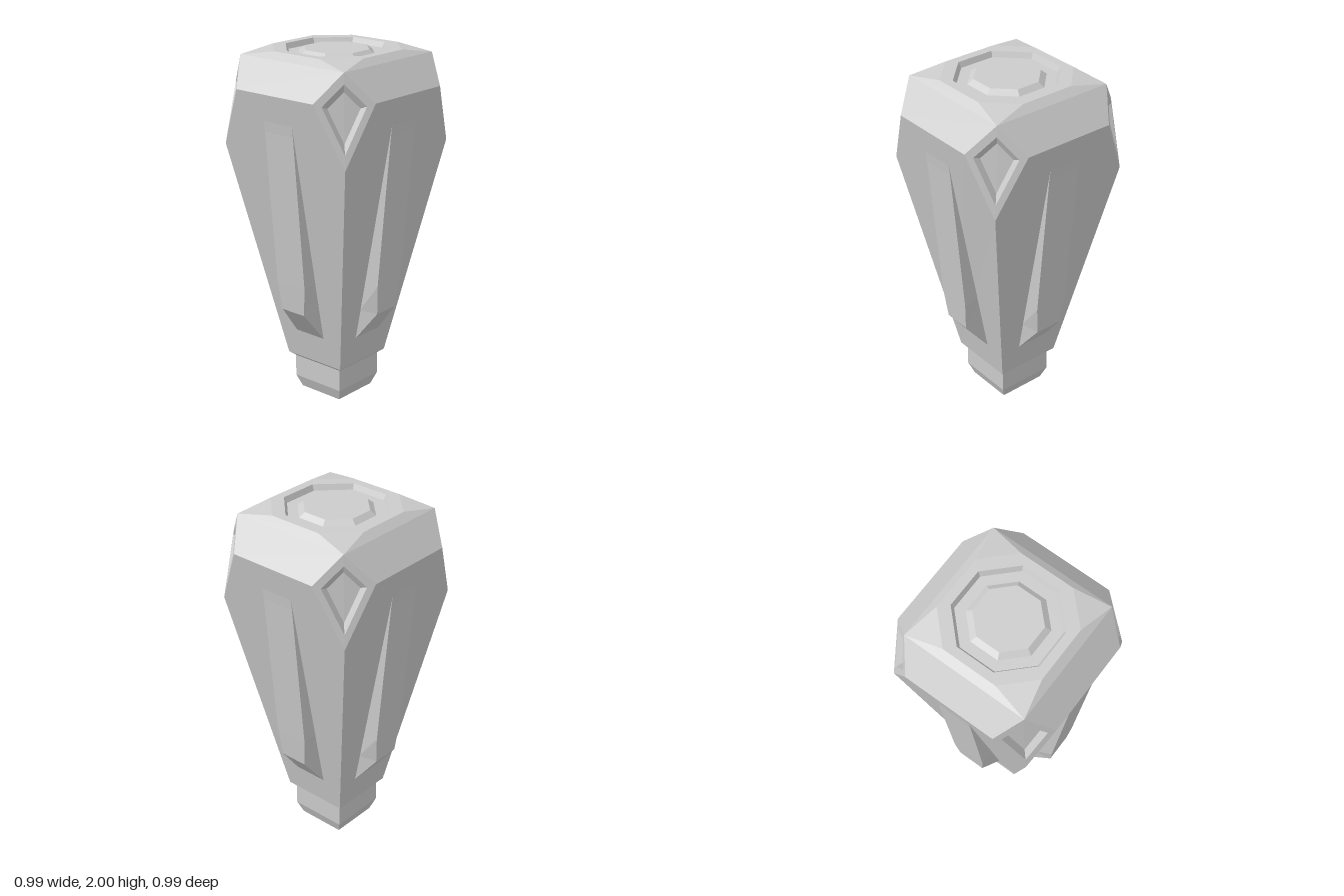
import * as THREE from 'three';

const material = new THREE.MeshStandardMaterial({ color: 0xcccccc, flatShading: true });

// Flat-shaded mesh from convex polygons (corners anticlockwise from outside)
function polyMesh(name, polygons) {
  const pos = [];
  for (const p of polygons)
    for (let i = 1; i < p.length - 1; i++) pos.push(...p[0], ...p[i], ...p[i + 1]);
  const geo = new THREE.BufferGeometry();
  geo.setAttribute('position', new THREE.Float32BufferAttribute(pos, 3));
  geo.computeVertexNormals();
  const mesh = new THREE.Mesh(geo, material);
  mesh.name = name;
  return mesh;
}

// Half width of the tapered body at height y
const bodyHalf = (y) => 0.195 + (y - 0.22) * 0.1887;

// One side of the tapered body with the sloping shoulder above it
function sidePanel() {
  return polyMesh('bodySide', [
    [[-0.195, 0.22, 0.195], [0.195, 0.22, 0.195], [0.43, 1.475, 0.43],
      [0.27, 1.81, 0.495], [-0.27, 1.81, 0.495], [-0.43, 1.475, 0.43]],
    [[-0.27, 1.81, 0.495], [0.27, 1.81, 0.495], [0.365, 1.965, 0.365], [-0.365, 1.965, 0.365]],
    [[-0.365, 1.965, 0.365], [0.365, 1.965, 0.365], [0.16, 2, 0.32], [-0.16, 2, 0.32]],
    [[0.365, 1.965, 0.365], [0.32, 2, 0.16], [0.16, 2, 0.32]],
  ]);
}

// Raised rib: stations of [height, depth, half width]
function rib() {
  const stations = [
    [0.395, bodyHalf(0.395), 0.1], [0.57, 0.365, 0.08], [0.74, 0.382, 0.1],
    [1.6, 0.46, 0.1], [1.66, bodyHalf(1.66) + 0.001, 0.1],
  ];
  const polys = [];
  for (let i = 0; i < stations.length - 1; i++) {
    const [y0, z0, w0] = stations[i], [y1, z1, w1] = stations[i + 1];
    const b0 = bodyHalf(y0) - 0.005, b1 = bodyHalf(y1) - 0.005;
    polys.push(
      [[-w0, y0, z0], [w0, y0, z0], [w1, y1, z1], [-w1, y1, z1]],
      [[w0, y0, z0], [0.1, y0, b0], [0.1, y1, b1], [w1, y1, z1]],
      [[-0.1, y0, b0], [-w0, y0, z0], [-w1, y1, z1], [-0.1, y1, b1]],
    );
  }
  return polyMesh('rib', polys);
}

// Kite-shaped corner facet with a bevelled recess
function cornerFacet() {
  const outer = [[0.365, 1.965, 0.365], [0.27, 1.81, 0.495], [0.43, 1.475, 0.43], [0.495, 1.81, 0.27]]
    .map((p) => new THREE.Vector3(...p));
  const centre = new THREE.Vector3(0.392, 1.76, 0.392);
  const normal = outer[3].clone().sub(outer[1]).cross(outer[0].clone().sub(outer[2])).normalize();
  const inset = (scale, depth) => outer.map((p) =>
    p.clone().lerp(centre, 1 - scale).addScaledVector(normal, -depth));
  const rings = [outer, inset(0.72, 0), inset(0.53, 0.03)].map((r) => r.map((p) => p.toArray()));
  const polys = [rings[2]];
  for (let k = 0; k < 2; k++)
    for (let i = 0; i < 4; i++) {
      const j = (i + 1) % 4;
      polys.push([rings[k][i], rings[k][j], rings[k + 1][j], rings[k + 1][i]]);
    }
  return polyMesh('cornerFacet', polys);
}

// Quarter of the top: octagon rings [apothem, half side, height] forming recess and button
function topQuarter() {
  const rings = [[0.32, 0.16, 2], [0.27, 0.112, 2], [0.255, 0.106, 1.97],
    [0.2, 0.083, 1.97], [0.17, 0.07, 1.995]];
  const polys = [];
  for (let i = 0; i < rings.length - 1; i++) {
    const [s, a, y] = rings[i], [t, b, v] = rings[i + 1];
    polys.push(
      [[-a, y, s], [a, y, s], [b, v, t], [-b, v, t]],
      [[a, y, s], [s, y, a], [t, v, b], [b, v, t]],
    );
  }
  const [s, a, y] = rings[rings.length - 1];
  polys.push([[0, y, 0], [-a, y, s], [a, y, s], [s, y, a]]);
  return polyMesh('topButton', polys);
}

// Side of the square foot: rings [half width, height] ending in a recessed underside
function footSide() {
  const rings = [[0.195, 0.22], [0.167, 0.197], [0.167, 0.07], [0.14, 0],
    [0.107, 0], [0.09, 0.03], [0, 0.03]];
  const polys = [];
  for (let i = 0; i < rings.length - 1; i++) {
    const [w, y] = rings[i], [u, v] = rings[i + 1];
    polys.push([[-u, v, u], [u, v, u], [w, y, w], [-w, y, w]]);
  }
  return polyMesh('foot', polys);
}

export function createModel() {
  const model = new THREE.Group();
  model.name = 'taperedPost';
  // Four identical quarters around the vertical axis
  for (let i = 0; i < 4; i++) {
    const quarter = new THREE.Group();
    quarter.name = 'quarter' + (i + 1);
    quarter.add(sidePanel(), rib(), cornerFacet(), topQuarter(), footSide());
    quarter.rotation.y = (i * Math.PI) / 2;
    model.add(quarter);
  }
  return model;
}
